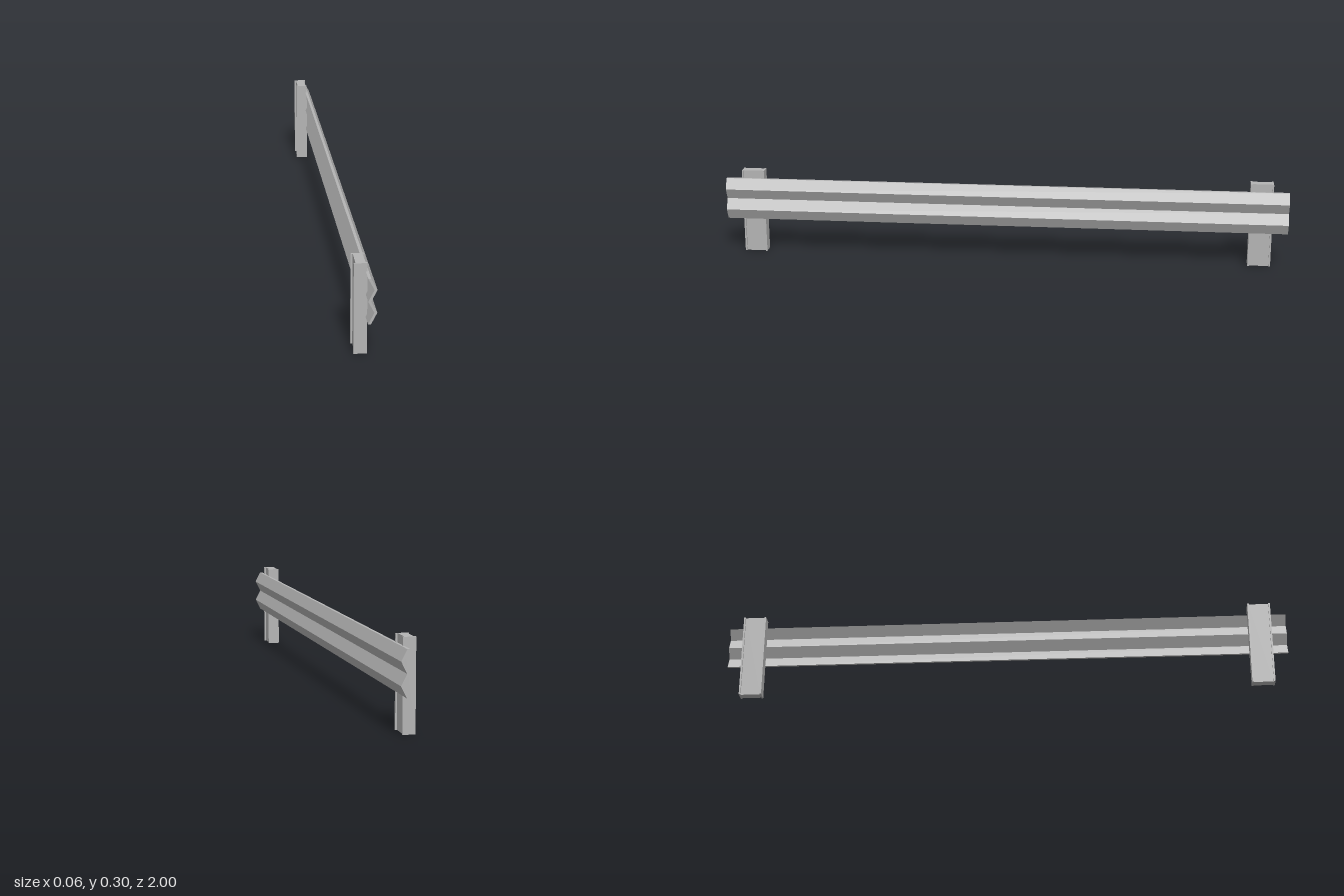
import * as THREE from 'three';

const RAIL_LENGTH = 2;
const POST_HEIGHT = 0.302;

export function createModel() {
  const group = new THREE.Group();
  group.name = 'guardrail';

  const steel = new THREE.MeshStandardMaterial({ color: 0xb4b4b4 });
  steel.name = 'galvanised steel grey';

  // Corrugated rail: a folded sheet with two ridges, extruded along z
  const folds = [[0.004, 0.274], [0.023, 0.237], [0.004, 0.199], [0.023, 0.162], [0.004, 0.124]];
  const thickness = 0.009;
  const outer = folds.map(([x, y]) => new THREE.Vector2(x + thickness, y));
  const inner = folds.map(([x, y]) => new THREE.Vector2(x, y)).reverse();
  const railGeometry = new THREE.ExtrudeGeometry(new THREE.Shape([...outer, ...inner]), {
    depth: RAIL_LENGTH, bevelEnabled: false,
  });
  railGeometry.translate(0, 0, -RAIL_LENGTH / 2);
  const rail = new THREE.Mesh(railGeometry, steel);
  rail.name = 'rail';
  group.add(rail);

  // Post: H-section, flanges facing along the rail, thick core inset between them
  const x0 = -0.033, x1 = 0.009, inset = 0.006;
  const half = 0.04, neck = half - 0.006;
  const section = new THREE.Shape([
    [x0, -half], [x1, -half], [x1, -neck], [x1 - inset, -neck],
    [x1 - inset, neck], [x1, neck], [x1, half], [x0, half],
    [x0, neck], [x0 + inset, neck], [x0 + inset, -neck], [x0, -neck],
  ].map(([x, z]) => new THREE.Vector2(x, z)));
  const postGeometry = new THREE.ExtrudeGeometry(section, { depth: POST_HEIGHT, bevelEnabled: false });
  postGeometry.rotateX(-Math.PI / 2);

  for (const [name, z] of [['frontPost', 0.904], ['backPost', -0.904]]) {
    const post = new THREE.Mesh(postGeometry, steel);
    post.name = name;
    post.position.z = z;
    group.add(post);
  }

  return group;
}
